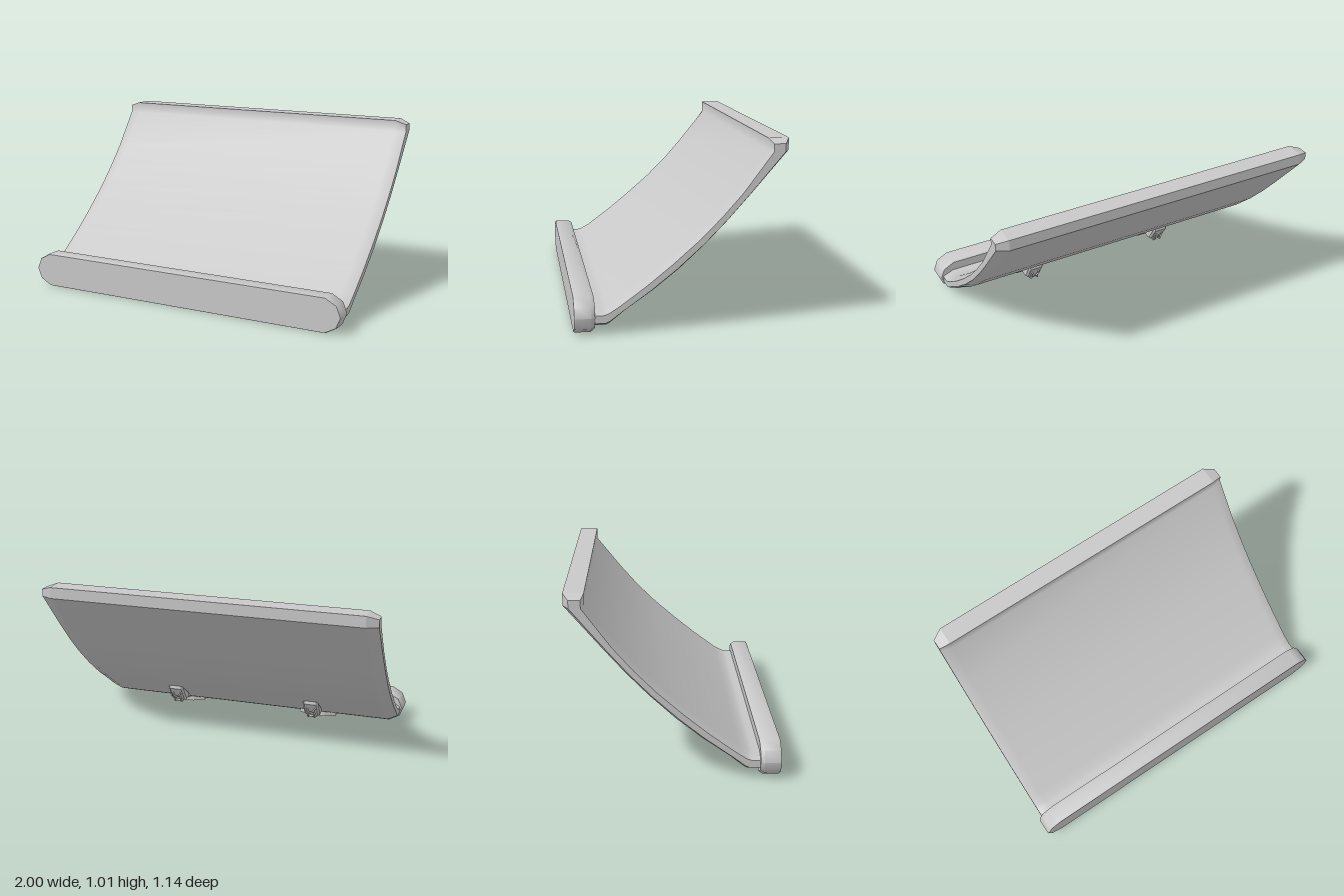
import * as THREE from 'three';
import { toCreasedNormals, mergeVertices } from 'three/addons/utils/BufferGeometryUtils.js';

const lightGrey = new THREE.MeshStandardMaterial({ color: 0xc8c8c8 });
lightGrey.name = 'light grey';

// Skin between consecutive rows of points; closed joins the row ends
function skin(rows, closed, crease) {
  const n = rows[0].length, pos = rows.flat(2), index = [];
  for (let i = 0; i < rows.length - 1; i++) {
    for (let j = 0; j < (closed ? n : n - 1); j++) {
      const k = (j + 1) % n, a = i * n + j, b = i * n + k;
      index.push(a, b, b + n, a, b + n, a + n);
    }
  }
  if (closed) {
    const last = (rows.length - 1) * n;
    for (let j = 1; j < n - 1; j++) index.push(0, j + 1, j, last, last + j, last + j + 1);
  }
  const g = new THREE.BufferGeometry();
  g.setAttribute('position', new THREE.Float32BufferAttribute(pos, 3));
  g.setIndex(index);
  if (crease) return toCreasedNormals(g, crease);
  g.computeVertexNormals();
  return g;
}

function add(parent, name, geometry) {
  const mesh = new THREE.Mesh(geometry, lightGrey);
  mesh.name = name;
  parent.add(mesh);
  return mesh;
}

const shapeOf = pts => new THREE.Shape(pts.map(p => new THREE.Vector2(...p)));

// Side profile given as (z, y), extruded across x and centred
function sideExtrude(pts, width, bevel) {
  const g = new THREE.ExtrudeGeometry(shapeOf(pts), {
    depth: width - 2 * bevel, bevelEnabled: bevel > 0, bevelSize: bevel,
    bevelOffset: -bevel, bevelThickness: bevel, bevelSegments: 1,
  });
  return g.translate(0, 0, -width / 2 + bevel).rotateY(-Math.PI / 2);
}

// Curved plate: stations of upper (z, y), lower (z, y)
const stations = [
  [0.465, 0.135, 0.465, 0.035], [0.423, 0.135, 0.40, 0.036],
  [0.395, 0.142, 0.38, 0.046], [0.347, 0.168, 0.30, 0.11],
  [0.203, 0.275, 0.15, 0.215], [0.07, 0.383, 0.01, 0.327],
  [-0.07, 0.504, -0.13, 0.456], [-0.19, 0.623, -0.25, 0.58],
  [-0.30, 0.748, -0.37, 0.715], [-0.46, 0.947, -0.57, 0.948],
  [-0.46, 1.013, -0.57, 1.013],
];

function buildPlate(parent) {
  const rings = stations.map(([uz, uy, lz, ly], i) => {
    const rim = i === stations.length - 1;
    const near = i >= stations.length - 2 ? 0.14 : 0.29;
    const at = (x, t) => [x, rim && Math.abs(x) > 0.95 ? 0.99 : uy + (ly - uy) * t, uz + (lz - uz) * t];
    return [at(-0.91, 0), at(0.91, 0), at(0.975, near), at(0.975, 0.71),
      at(0.91, 1), at(-0.91, 1), at(-0.975, 0.71), at(-0.975, near)];
  });
  const strip = (...ids) => rings.map(r => ids.map(i => r[i]));
  add(parent, 'plateFace', skin(strip(7, 0, 1, 2), false));
  add(parent, 'plateBack', skin(strip(4, 5), false, 0.5));
  add(parent, 'plateLeftEdge', skin(strip(2, 3, 4), false, 0.6));
  add(parent, 'plateRightEdge', skin(strip(5, 6, 7), false, 0.6));

  // Top rim with dropped corners
  const r = rings[rings.length - 1];
  const faces = [[0, 1, 4, 5], [1, 2, 3, 4], [5, 6, 7, 0]];
  const pos = faces.flatMap(([a, b, c, d]) => [a, b, c, a, c, d].flatMap(i => r[i]));
  const rim = new THREE.BufferGeometry();
  rim.setAttribute('position', new THREE.Float32BufferAttribute(pos, 3));
  rim.computeVertexNormals();
  add(parent, 'plateTopRim', rim);
}

// Front bar with many-sided ends and a chamfered rear edge
function buildBar(parent) {
  const half = [[0.91, 0], [0.975, 0.037], [1, 0.1], [0.975, 0.163], [0.91, 0.2]];
  const outline = [...half, ...half.map(([x, y]) => [-x, y]).reverse()];
  const ring = (z, inset) => outline.map(([x, y]) => [
    x * (1 - inset), 0.1 + (y - 0.1) * (1 - inset * 9), z]);
  const rows = [ring(0.462, 0.012), ring(0.482, 0), ring(0.566, 0), ring(0.572, 0.003)];
  add(parent, 'frontBar', skin(rows, true, 0.85));
}

// Clip under the plate: foot, arm, catch body, slot loop and hook
function buildClip() {
  const clip = new THREE.Group();
  const foot = new THREE.ExtrudeGeometry(shapeOf([
    [-0.12, 0.47], [-0.12, 0.435], [-0.05, 0.402], [0.05, 0.402], [0.12, 0.435], [0.12, 0.47],
  ]), { depth: 0.034, bevelEnabled: false }).rotateX(Math.PI / 2).translate(0, 0.038, 0);
  add(clip, 'clipFoot', foot);
  add(clip, 'clipArm', sideExtrude([
    [0.42, 0.04], [0.41, 0.025], [0.36, 0.043], [0.315, 0.066], [0.315, 0.105], [0.38, 0.055],
  ], 0.06, 0));
  add(clip, 'clipBody', sideExtrude([
    [0.335, 0.09], [0.318, 0.062], [0.285, 0.054], [0.26, 0.064], [0.2, 0.157], [0.205, 0.182],
  ], 0.1, 0.012));
  const slot = add(clip, 'clipSlot', new THREE.TorusGeometry(0.024, 0.006, 6, 8));
  slot.position.set(0, 0.118, 0.226);
  slot.rotation.x = Math.atan2(0.06, 0.093);
  const path = new THREE.CatmullRomCurve3([
    [0.25, 0.088], [0.242, 0.078], [0.243, 0.062], [0.254, 0.053], [0.265, 0.056],
  ].map(([z, y]) => new THREE.Vector3(0, y, z)));
  for (const x of [-0.02, 0.02]) {
    add(clip, 'clipHook', new THREE.TubeGeometry(path, 10, 0.006, 6)).position.x = x;
  }
  const pin = add(clip, 'clipPin', new THREE.CylinderGeometry(0.007, 0.007, 0.055, 8));
  pin.rotation.z = Math.PI / 2;
  pin.position.set(0, 0.056, 0.264);
  return clip;
}

export function createModel() {
  const model = new THREE.Group();
  model.name = 'curvedStand';
  buildPlate(model);
  buildBar(model);
  for (const side of [-1, 1]) {
    const clip = buildClip();
    clip.name = side > 0 ? 'leftClip' : 'rightClip';
    clip.position.x = side * 0.45;
    model.add(clip);
  }
  return model;
}
